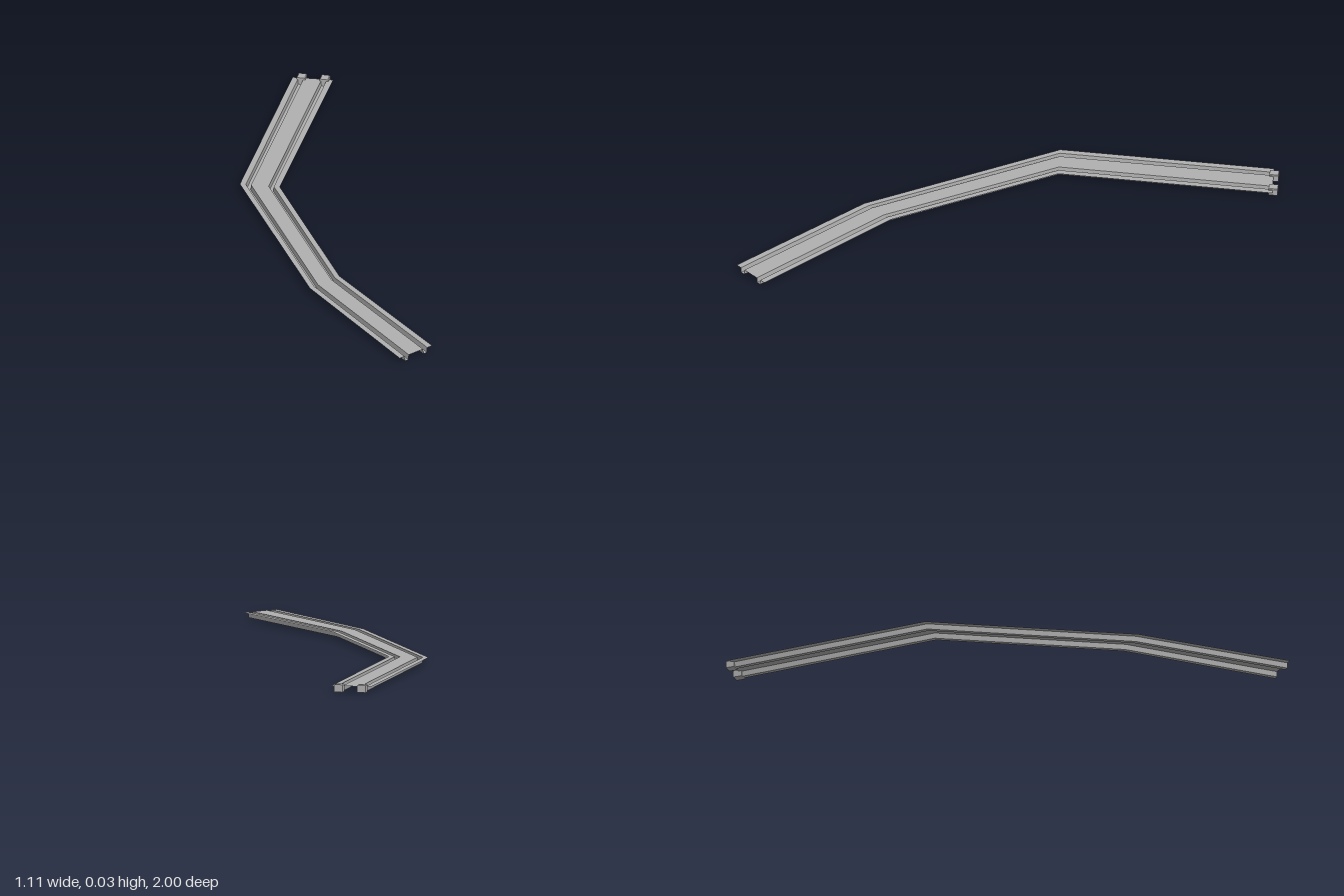
import * as THREE from 'three';

const TOP = 0.022;

// Stations along the track: left edge and right edge as [x, z]
const stations = [
  [[-0.556, 1.0], [-0.394, 1.0]],
  [[-0.509, 0.35], [-0.358, 0.345]],
  [[-0.238, -0.463], [-0.126, -0.348]],
  [[0.434, -0.997], [0.549, -0.882]],
];

// Cross-section: [fraction from left edge to right edge, height]
const profile = [
  [0, TOP], [0.15, TOP], [0.16, 0], [0.27, 0], [0.28, TOP],
  [0.72, TOP], [0.73, 0], [0.84, 0], [0.85, TOP], [1, TOP],
];

function pointAt([l, r], [t, y]) {
  return [l[0] + (r[0] - l[0]) * t, y, l[1] + (r[1] - l[1]) * t];
}

// One lengthwise strip between two neighbouring profile points
function strip(a, b) {
  const pos = [], idx = [];
  stations.forEach((s, i) => {
    pos.push(...pointAt(s, a), ...pointAt(s, b));
    if (i) {
      const k = i * 2;
      idx.push(k - 2, k - 1, k, k - 1, k + 1, k);
    }
  });
  const g = new THREE.BufferGeometry();
  g.setAttribute('position', new THREE.Float32BufferAttribute(pos, 3));
  g.setIndex(idx);
  g.computeVertexNormals();
  return g;
}

export function createModel() {
  const group = new THREE.Group();
  const grey = new THREE.MeshStandardMaterial({ color: 0xb0b0b0, side: THREE.DoubleSide });
  grey.name = 'track grey';

  // Sheet with two sunken channels
  const track = new THREE.Group();
  track.name = 'track';
  for (let i = 0; i + 1 < profile.length; i++) {
    const mesh = new THREE.Mesh(strip(profile[i], profile[i + 1]), grey);
    mesh.name = profile[i][1] === TOP && profile[i + 1][1] === TOP ? 'deck'
      : profile[i][1] === profile[i + 1][1] ? 'channelFloor' : 'channelWall';
    track.add(mesh);
  }
  group.add(track);

  // Joining clips wrapped round the far end of each channel
  const w = 0.018, c = 0.003, h = 0.03;
  const outline = new THREE.Shape([
    [-w, 0], [w, 0], [w, h - c], [w - c, h], [-w + c, h], [-w, h - c],
  ].map(([x, y]) => new THREE.Vector2(x, y)));
  const clipGeo = new THREE.ExtrudeGeometry(outline, { depth: 0.036, bevelEnabled: false });
  clipGeo.translate(0, 0, -0.018);
  for (const t of [0.215, 0.785]) {
    const clip = new THREE.Mesh(clipGeo, grey);
    clip.name = t < 0.5 ? 'rightClip' : 'leftClip';
    const [x, , z] = pointAt(stations[3], [t, 0]);
    clip.position.set(x + 0.003, 0, z - 0.001);
    clip.rotation.y = -0.86;
    group.add(clip);
  }
  return group;
}
